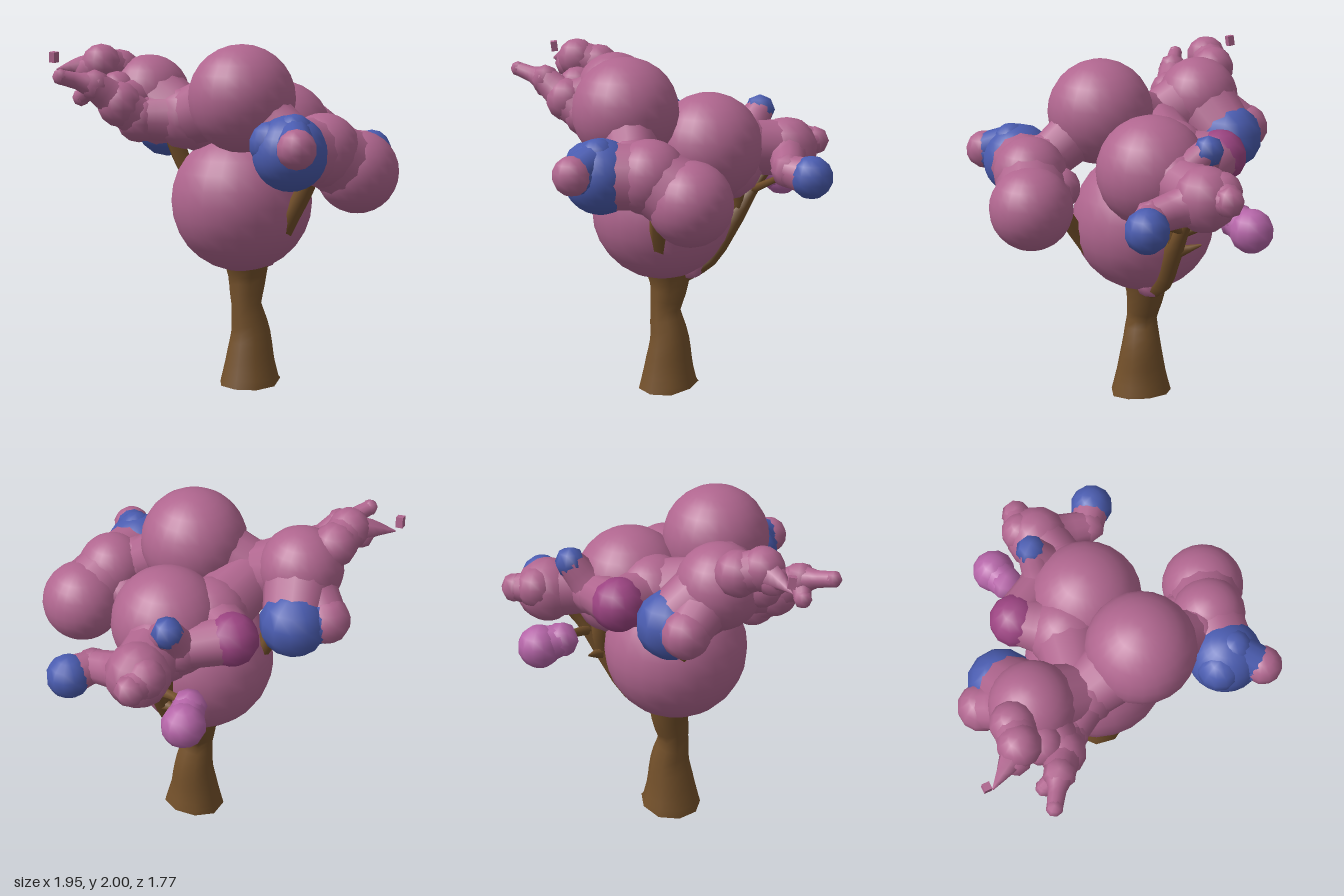
import * as THREE from 'three';

const mat = (color) => new THREE.MeshStandardMaterial({ color, side: THREE.DoubleSide });
const PINK = mat(0xb0668f), MAGENTA = mat(0x9c4482), ORCHID = mat(0xb565a8);
const BLUE = mat(0x4a5cb0), BARK = mat(0x73502a);
const UP = new THREE.Vector3(0, 1, 0);

// Skin of round sections along a path of [x, y, z, radius]
function loft(stops, sides = 10, steps = 6) {
  const curve = new THREE.CatmullRomCurve3(stops.map(([x, y, z]) => new THREE.Vector3(x, y, z)));
  const pos = [], index = [], q = new THREE.Quaternion();
  const n = (stops.length - 1) * steps;
  for (let i = 0; i <= n; i++) {
    const t = i / n, k = Math.min(Math.floor(i / steps), stops.length - 2);
    const r = THREE.MathUtils.lerp(stops[k][3], stops[k + 1][3], i / steps - k);
    const c = curve.getPoint(t);
    q.setFromUnitVectors(UP, curve.getTangent(t));
    for (let j = 0; j < sides; j++) {
      const a = j / sides * Math.PI * 2;
      const v = new THREE.Vector3(Math.cos(a) * r, 0, Math.sin(a) * r).applyQuaternion(q).add(c);
      pos.push(v.x, v.y, v.z);
      if (i === n) continue;
      const p = i * sides + j, s = i * sides + (j + 1) % sides;
      index.push(p, p + sides, s, s, p + sides, s + sides);
    }
  }
  const g = new THREE.BufferGeometry();
  g.setAttribute('position', new THREE.Float32BufferAttribute(pos, 3));
  g.setIndex(index);
  g.computeVertexNormals();
  return g;
}

// Foliage clumps: centre x, y, z, radius, material
const CLUMPS = {
  lowerCrown: [0, 1.09, -0.07, 0.41, PINK],
  topCrown: [-0.185, 1.7, 0.135, 0.302, PINK],
  leftCrown: [0.27, 1.47, -0.04, 0.312, PINK],
  leftLowerCrown: [0.38, 1.36, -0.07, 0.2, PINK],
  coreCrown: [0.1, 1.48, -0.2, 0.22, PINK],
  leftShoulder: [0.46, 1.46, -0.12, 0.18, PINK],
  leftBackShoulder: [0.42, 1.47, -0.25, 0.13, PINK],
  frontLeftLobe: [0.225, 1.3, 0.635, 0.232, PINK],
  frontMiddleLobe: [0, 1.43, 0.59, 0.205, PINK],
  frontBlueLobe: [-0.26, 1.43, 0.6, 0.205, BLUE],
  frontBlueCap: [-0.27, 1.54, 0.64, 0.105, BLUE],
  frontBlueBack: [-0.34, 1.48, 0.54, 0.125, BLUE],
  frontNub: [-0.385, 1.47, 0.775, 0.108, PINK],
  frontInnerLobe: [-0.1, 1.47, 0.47, 0.15, PINK],
  frontLowerInner: [0.07, 1.35, 0.44, 0.12, PINK],
  backRightLobe: [-0.33, 1.7, -0.5, 0.235, PINK],
  backRightNeck: [-0.3, 1.58, -0.22, 0.18, PINK],
  backBlueLobe: [-0.1, 1.51, -0.62, 0.19, BLUE],
  backNub: [-0.21, 1.53, -0.76, 0.132, PINK],
  spurRoot: [-0.58, 1.88, -0.63, 0.118, PINK],
  spurRidge: [-0.45, 1.84, -0.63, 0.125, PINK],
  spurShoulder: [-0.64, 1.84, -0.67, 0.085, PINK],
  sideSpurBase: [-0.49, 1.58, -0.38, 0.135, PINK],
  sideSpurRoot: [-0.61, 1.66, -0.42, 0.13, PINK],
  sideSpurFill: [-0.56, 1.73, -0.51, 0.115, PINK],
  sideSpur: [-0.75, 1.77, -0.47, 0.09, PINK],
  sideSpurTip: [-0.93, 1.82, -0.545, 0.046, PINK],
  sideSpurLowTip: [-0.78, 1.7, -0.56, 0.05, PINK],
  backMagentaLobe: [0.23, 1.51, -0.45, 0.15, MAGENTA],
  farLeftLobe: [0.71, 1.44, -0.2, 0.18, PINK],
  farLeftBack: [0.75, 1.48, -0.28, 0.115, PINK],
  farLeftTip: [0.87, 1.47, -0.28, 0.085, PINK],
  leftBackLobe: [0.68, 1.22, -0.48, 0.122, ORCHID],
  leftBackInner: [0.57, 1.25, -0.43, 0.1, ORCHID],
  leftBlueNeck: [0.73, 1.37, 0.1, 0.1, PINK],
  leftBlueLobe: [0.86, 1.35, 0.16, 0.122, BLUE],
  upperBlueBud: [0.55, 1.65, -0.27, 0.088, BLUE],
  lowBud: [0.16, 0.76, -0.07, 0.095, PINK],
};

// Pairs of clumps that melt into each other
const JOINS = [
  ['frontLeftLobe', 'frontMiddleLobe'], ['frontMiddleLobe', 'frontBlueLobe'],
  ['frontBlueLobe', 'frontNub'], ['frontBlueCap', 'frontNub'],
  ['frontInnerLobe', 'frontMiddleLobe'], ['frontInnerLobe', 'topCrown'],
  ['frontLowerInner', 'frontLeftLobe'],
  ['topCrown', 'backRightNeck'], ['backRightNeck', 'backRightLobe'],
  ['backRightNeck', 'coreCrown'], ['coreCrown', 'lowerCrown'],
  ['backBlueLobe', 'backNub'], ['backRightLobe', 'backBlueLobe'],
  ['backNub', 'backRightLobe'],
  ['backRightLobe', 'spurRidge'], ['spurRidge', 'spurRoot'],
  ['sideSpurBase', 'backRightNeck'], ['sideSpurBase', 'sideSpurRoot'],
  ['backRightLobe', 'sideSpurRoot'], ['sideSpurRoot', 'sideSpur'],
  ['sideSpur', 'sideSpurTip'], ['sideSpur', 'sideSpurLowTip'],
  ['leftCrown', 'leftShoulder'], ['leftShoulder', 'farLeftLobe'],
  ['leftBackShoulder', 'backMagentaLobe'], ['leftBackShoulder', 'upperBlueBud'],
  ['farLeftLobe', 'farLeftTip'], ['farLeftBack', 'farLeftTip'],
  ['farLeftLobe', 'leftBlueNeck'], ['leftBlueNeck', 'leftBlueLobe'],
  ['leftBackInner', 'leftBackLobe'], ['leftShoulder', 'upperBlueBud'],
  ['coreCrown', 'backMagentaLobe'], ['lowerCrown', 'lowBud'],
];

// Bark paths: x, y, z, radius
const BRANCHES = {
  leftBranch: [[0.1, 0.68, -0.07, 0.05], [0.27, 0.79, -0.1, 0.055], [0.42, 1.04, -0.12, 0.055], [0.54, 1.24, -0.15, 0.035], [0.66, 1.4, -0.2, 0.03]],
  leftFork: [[0.4, 1.0, -0.12, 0.04], [0.43, 1.15, -0.13, 0.06], [0.42, 1.33, -0.1, 0.07]],
  leftTwig: [[0.42, 1.03, -0.12, 0.05], [0.46, 1.08, -0.27, 0.006]],
  leftBackTwig: [[0.5, 1.18, -0.15, 0.03], [0.53, 1.23, -0.3, 0.025], [0.58, 1.25, -0.42, 0.03]],
  leftFrontTwig: [[0.52, 1.2, -0.14, 0.025], [0.62, 1.28, 0, 0.02], [0.72, 1.35, 0.1, 0.02]],
  frontBranch: [[0.02, 0.85, 0.2, 0.05], [0.02, 1.02, 0.31, 0.05], [0.03, 1.18, 0.41, 0.05], [0.03, 1.35, 0.52, 0.04]],
  backBranch: [[-0.02, 1.0, -0.3, 0.05], [-0.12, 1.24, -0.41, 0.05], [-0.2, 1.55, -0.5, 0.06]],
};

export function createModel() {
  const tree = new THREE.Group();
  tree.name = 'tree';
  const add = (name, geometry, material) => {
    const mesh = new THREE.Mesh(geometry, material);
    mesh.name = name;
    tree.add(mesh);
    return mesh;
  };

  // Flared trunk with an open, slightly uneven foot
  const trunk = loft([
    [0.04, 0, -0.045, 0.182], [0.04, 0.14, -0.045, 0.148], [0.045, 0.31, -0.045, 0.118],
    [0.02, 0.48, -0.055, 0.09], [0.04, 0.64, -0.07, 0.115], [0.03, 0.8, -0.07, 0.15],
  ], 9, 3);
  const p = trunk.attributes.position;
  for (let j = 0; j < 9; j++) p.setY(j, Math.max(0, (p.getX(j) - 0.04) * 0.22));
  add('trunk', trunk, BARK);

  for (const [name, path] of Object.entries(BRANCHES)) add(name, loft(path, 6, 3), BARK);

  // Round clumps, coarser when small
  for (const [name, [x, y, z, r, material]] of Object.entries(CLUMPS)) {
    const sides = r > 0.2 ? 24 : r > 0.1 ? 12 : 8;
    const clump = add(name, new THREE.SphereGeometry(r, sides, sides * 0.6), material);
    clump.position.set(x, y, z);
  }

  // Pinched necks between the clumps
  for (const [a, b] of JOINS) {
    const [ca, cb] = [CLUMPS[a], CLUMPS[b]];
    const ra = ca[3] * 0.9, rb = cb[3] * 0.9;
    const mid = [0, 1, 2].map((i) => (ca[i] + cb[i]) / 2);
    const waist = Math.min((ra + rb) / 2, Math.min(ra, rb) * 1.15);
    const ends = [[...ca.slice(0, 3), ra], [...mid, waist], [...cb.slice(0, 3), rb]];
    add('foliageNeck', loft(ends, 12, 3), ca[4]);
  }

  // Thin spike and the loose petal beyond it
  add('spike', loft([[-0.56, 1.87, -0.62, 0.1], [-0.67, 1.87, -0.72, 0.055], [-0.76, 1.85, -0.82, 0.004]], 6, 3), PINK);
  const petal = add('loosePetal', new THREE.BoxGeometry(0.04, 0.06, 0.04), PINK);
  petal.position.set(-0.76, 1.92, -0.845);
  petal.rotation.set(0.1, 0.2, 0.1);

  return tree;
}
